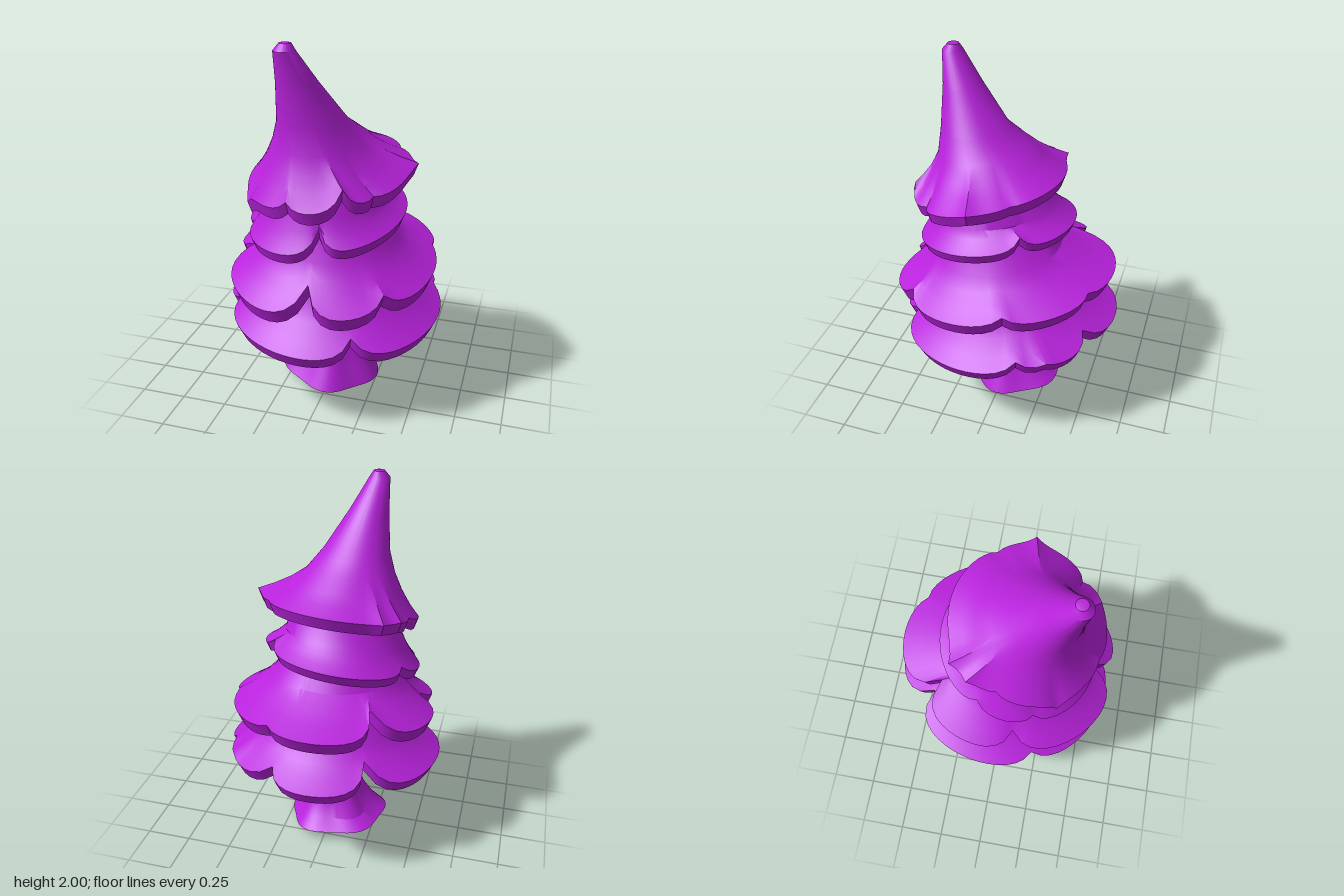
import * as THREE from 'three';
import { toCreasedNormals } from 'three/addons/utils/BufferGeometryUtils.js';

const COLUMNS = 72;
const material = new THREE.MeshStandardMaterial({ color: 0xb822dc });

// One row of points round the tree; place(angle) gives each point, angle 0 faces front
const row = place => Array.from({ length: COLUMNS }, (_, i) => place(i / COLUMNS * Math.PI * 2));

// Round row, lowered towards the front by tilt and rippled by groove
function ring([cx, cz, r, y], tilt = 0, groove = 0) {
  return row(a => {
    const s = r * (1 + groove * Math.sin(5 * a + 1)), z = s * Math.cos(a);
    return new THREE.Vector3(cx + s * Math.sin(a), y - tilt * z, cz + z);
  });
}

// Skin the rows from top to bottom
function loft(name, rows) {
  const index = [];
  for (let j = 0; j < rows.length - 1; j++) {
    for (let i = 0; i < COLUMNS; i++) {
      const k = (i + 1) % COLUMNS, a = j * COLUMNS, b = a + COLUMNS;
      index.push(a + i, b + i, b + k, a + i, b + k, a + k);
    }
  }
  const geometry = new THREE.BufferGeometry().setFromPoints(rows.flat());
  geometry.setIndex(index);
  const mesh = new THREE.Mesh(toCreasedNormals(geometry, 0.5), material);
  mesh.name = name;
  return mesh;
}

// Elliptical rim on a sloping plane, cut by notches of [degrees, depth, lift]
function scallopedRim({ cx, cz, rx, rz, y, slopeX, slopeZ }, notches) {
  return row(a => {
    let scale = 1, lift = 0;
    for (const [degrees, depth, rise] of notches) {
      const d = a - THREE.MathUtils.degToRad(degrees);
      const near = Math.exp(-Math.abs(Math.atan2(Math.sin(d), Math.cos(d))) / 0.12);
      scale -= depth * near;
      lift += rise * near;
    }
    const x = rx * scale * Math.sin(a), z = rz * scale * Math.cos(a);
    return new THREE.Vector3(cx + x, y + slopeX * x + slopeZ * z + lift, cz + z);
  });
}

// Skirt of foliage: rings flare to the rim, then fold under to a closed hollow
function foliage(name, rings, rim, notches, thick) {
  const edge = scallopedRim(rim, notches);
  const rows = rings.map((r, i) => ring(r, i === rings.length - 1 ? -0.6 * rim.slopeZ : 0));
  const neck = rows[rows.length - 1];
  const [neckX, neckZ, , neckY] = rings[rings.length - 1];
  const between = (t, ty, shrink, drop) => edge.map((p, i) => {
    const q = neck[i].clone().lerp(p, t);
    return new THREE.Vector3(
      rim.cx + (q.x - rim.cx) * shrink,
      THREE.MathUtils.lerp(neck[i].y, p.y, ty) - drop,
      rim.cz + (q.z - rim.cz) * shrink);
  });
  return loft(name, [
    ...rows, between(0.3, 0.4, 1, 0), between(0.65, 0.74, 1, 0), edge,
    between(1, 1, 0.95, thick), between(0.4, 0.5, 0.9, thick), between(0, 0, 0.75, 0.04),
    ring([neckX, neckZ, 0, neckY + 0.04]),
  ]);
}

// Grooved trunk with an uneven flared foot, hollowed below
function trunk() {
  const rings = [[0, -.03, .11, .8], [0, -.03, .135, .4], [-.01, -.03, .135, .28],
    [-.015, -.03, .158, .2], [-.02, -.035, .21, .11]];
  const foot = ring([-.03, -.045, .275, .03], 0, 0.05);
  foot.forEach(p => { p.y = Math.max(0, 0.03 - 0.08 * p.x - 0.1 * p.z); });
  return loft('trunk', [...rings.map(r => ring(r, 0, 0.06)), foot,
    ring([-.02, -.04, .15, .1]), ring([-.02, -.04, 0, .14])]);
}

export function createModel() {
  const tree = new THREE.Group();
  tree.name = 'tree';
  tree.add(
    trunk(),
    foliage('bottomFoliage',
      [[0, .02, .32, .86], [0, 0, .395, .69]],
      { cx: 0, cz: -.01, rx: .605, rz: .62, y: .51, slopeX: -.02, slopeZ: -.085 },
      [[25, .15, .07], [110, .07, .05], [125, 0, .03], [155, .15, .06], [215, .26, .11], [295, .1, .04]], 0.065),
    foliage('lowerFoliage',
      [[-.01, .08, .28, 1.12], [0, .06, .355, .95]],
      { cx: 0, cz: .02, rx: .575, rz: .62, y: .78, slopeX: .01, slopeZ: -.14 },
      [[0, .24, .11], [45, .08, .06], [105, .06, .04], [155, .06, .02], [220, .28, .11], [280, .2, .06]], 0.075),
    foliage('upperFoliage',
      [[-.01, .12, .21, 1.45], [0, .1, .25, 1.34], [-.02, .09, .315, 1.19]],
      { cx: -.025, cz: .07, rx: .43, rz: .43, y: 1.055, slopeX: .11, slopeZ: -.18 },
      [[10, .2, .1], [125, .1, .06], [245, .08, .04], [290, .08, .02]], 0.055),
    // Top tier leans forward to its tip; negative depths push corners out
    foliage('topFoliage',
      [[-.145, .34, 0, 2], [-.145, .34, .03, 1.995], [-.148, .345, .055, 1.96],
        [-.11, .28, .105, 1.8], [-.06, .2, .18, 1.6], [-.04, .15, .24, 1.5]],
      { cx: 0, cz: .11, rx: .425, rz: .41, y: 1.31, slopeX: .08, slopeZ: -.24 },
      [[25, .06, .1], [50, .1, 0], [95, -.09, .02], [125, .05, 0], [220, -.12, .01], [235, -.08, .02],
        [255, .05, .02], [300, -.03, -.06], [345, .03, .05]], 0.065),
  );
  return tree;
}
